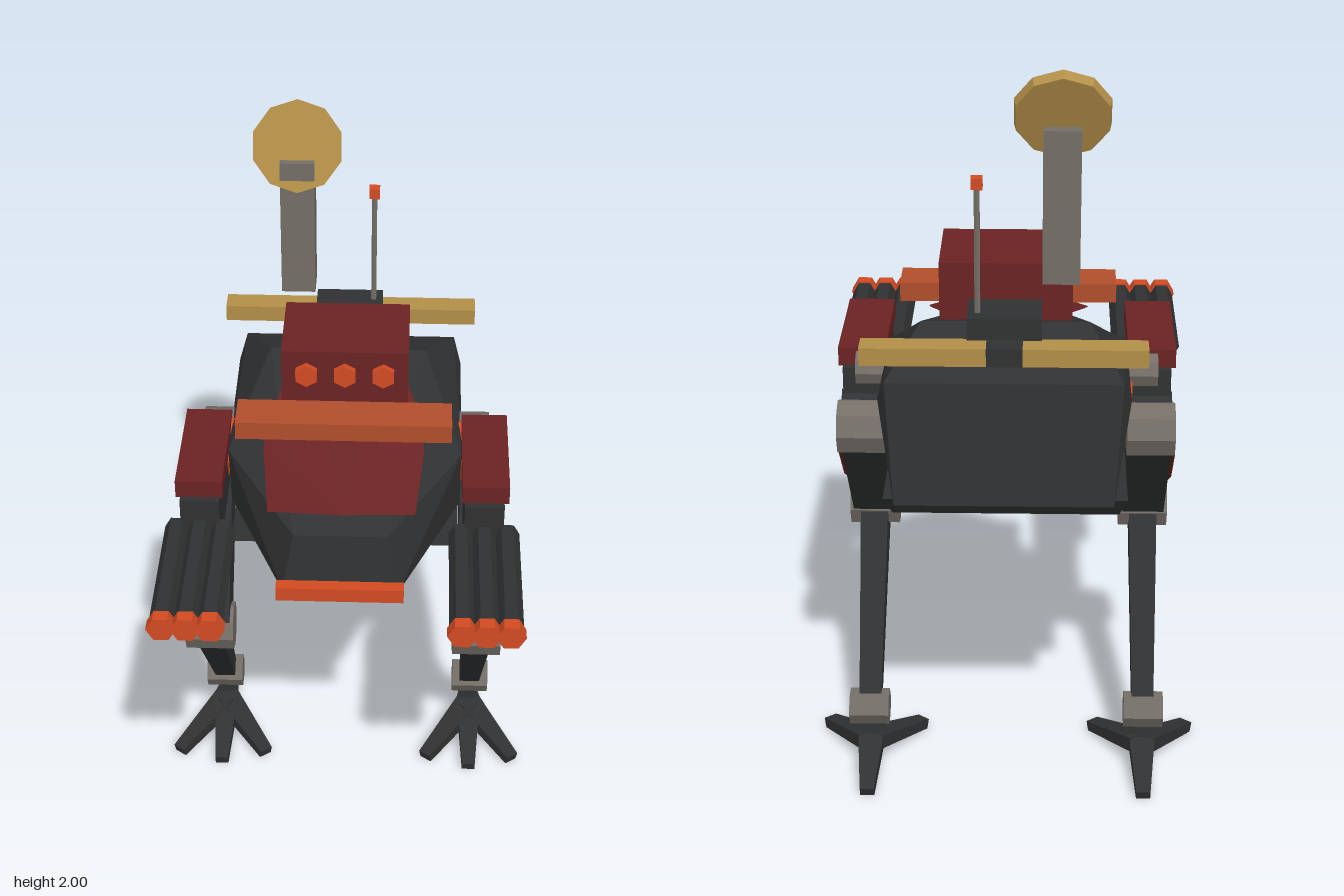
import * as THREE from 'three';
import { ConvexGeometry } from 'three/addons/geometries/ConvexGeometry.js';

const paint = (name, color) => {
  const m = new THREE.MeshStandardMaterial({ color, flatShading: true });
  m.name = name;
  return m;
};

export function createModel() {
  const charcoal = paint('charcoal', 0x303132);
  const maroon = paint('maroon', 0x6b2324);
  const orange = paint('orange', 0xd24a22);
  const rust = paint('rust', 0xb04e2c);
  const gold = paint('gold', 0xb28e48);
  const grey = paint('grey', 0x746e67);

  const model = new THREE.Group();
  model.name = 'walkerRobot';

  const add = (parent, name, geo, mat, x = 0, y = 0, z = 0) => {
    const m = new THREE.Mesh(geo, mat);
    m.name = name;
    m.position.set(x, y, z);
    parent.add(m);
    return m;
  };
  // box given by its limits on each axis
  const box = (parent, name, mat, [x0, x1], [y0, y1], [z0, z1]) =>
    add(parent, name, new THREE.BoxGeometry(x1 - x0, y1 - y0, z1 - z0), mat,
      (x0 + x1) / 2, (y0 + y1) / 2, (z0 + z1) / 2);
  // convex block from corners mirrored across x
  const block = (name, mat, corners) => {
    const pts = corners.flatMap(([x, y, z]) =>
      x ? [new THREE.Vector3(x, y, z), new THREE.Vector3(-x, y, z)] : [new THREE.Vector3(x, y, z)]);
    return add(model, name, new ConvexGeometry(pts), mat);
  };
  // tapered four-sided beam between two points
  const beam = (parent, name, mat, from, to, [w0, h0], [w1, h1]) => {
    const a = new THREE.Vector3(...from), b = new THREE.Vector3(...to), len = a.distanceTo(b);
    const geo = new THREE.BoxGeometry(1, 1, len);
    const p = geo.attributes.position;
    for (let i = 0; i < p.count; i++) {
      const end = p.getZ(i) > 0;
      p.setXY(i, p.getX(i) * (end ? w1 : w0), p.getY(i) * (end ? h1 : h0));
    }
    geo.computeVertexNormals();
    const m = add(parent, name, geo, mat, ...a.clone().add(b).multiplyScalar(0.5).toArray());
    m.lookAt(b);
    return m;
  };
  // joint drum lying along x
  const drum = (parent, name, mat, r, w, sides, x, y, z) =>
    add(parent, name, new THREE.CylinderGeometry(r, r, w, sides).rotateZ(Math.PI / 2), mat, x, y, z);

  // body
  block('hull', charcoal, [
    [0.29, 1.25, -0.52], [0.27, 0.94, -0.56], [0.21, 1.33, -0.32],
    [0.31, 1.19, -0.48], [0.31, 1.17, -0.06], [0.31, 0.98, -0.1],
    [0.25, 0.92, -0.05], [0.12, 1.13, 0.255], [0.15, 0.97, 0.28],
  ]);
  block('hood', maroon, [
    [0, 1.205, 0.265], [0.19, 1.155, 0.19], [0.21, 1.235, 0.02],
    [0.2, 1.27, -0.08], [0.13, 1.335, -0.3],
  ]);
  block('pelvis', charcoal, [
    [0.31, 0.88, -0.04], [0.31, 0.88, -0.41], [0.29, 0.815, -0.2], [0.29, 0.815, -0.36],
  ]);
  box(model, 'bumper', orange, [-0.165, 0.165], [0.96, 1.0], [0.275, 0.31]);

  // head
  box(model, 'head', maroon, [-0.165, 0.165], [1.33, 1.48], [-0.31, -0.065]);
  box(model, 'visor', rust, [-0.28, 0.28], [1.28, 1.33], [-0.065, 0.045]);
  for (const x of [-0.1, 0, 0.1])
    add(model, 'headLight', new THREE.CylinderGeometry(0.032, 0.032, 0.02, 6).rotateX(Math.PI / 2),
      orange, x, 1.415, -0.058);

  // rear equipment
  box(model, 'rearBar', gold, [-0.345, 0.345], [1.31, 1.355], [-0.555, -0.49]);
  box(model, 'barClamp', charcoal, [-0.045, 0.042], [1.312, 1.358], [-0.56, -0.5]);
  box(model, 'spineStrip', orange, [-0.045, 0.042], [1.31, 1.338], [-0.49, -0.31]);
  box(model, 'equipmentBox', charcoal, [-0.09, 0.09], [1.31, 1.41], [-0.5, -0.37]);
  box(model, 'mast', grey, [-0.18, -0.09], [1.48, 1.86], [-0.45, -0.366]);
  const dish = add(model, 'dish',
    new THREE.CylinderGeometry(0.12, 0.115, 0.028, 10).rotateY(Math.PI).rotateX(Math.PI / 2),
    gold, -0.135, 1.888, -0.412);
  dish.rotation.x = -0.38;
  add(model, 'antenna', new THREE.CylinderGeometry(0.008, 0.008, 0.33, 6), grey, 0.065, 1.57, -0.455);
  box(model, 'antennaTip', orange, [0.051, 0.079], [1.722, 1.75], [-0.469, -0.441]);

  // arms and legs
  for (const s of [-1, 1]) {
    const side = s > 0 ? 'left' : 'right';
    const span = (a, b) => (s > 0 ? [a, b] : [-b, -a]);

    const arm = new THREE.Group();
    arm.name = side + 'Arm';
    model.add(arm);
    drum(arm, 'shoulderDisc', orange, 0.085, 0.05, 8, s * 0.295, 1.11, -0.175);
    drum(arm, 'shoulderPin', grey, 0.045, 0.08, 8, s * 0.345, 1.155, -0.21);
    box(arm, 'forearm', charcoal, span(0.318, 0.42), [1.01, 1.157], [-0.22, 0.155]);
    box(arm, 'armPlate', maroon, span(0.31, 0.432), [1.155, 1.205], [-0.2, 0.135]);
    for (const x of [0.31, 0.37, 0.43]) {
      const tube = (r, len) => new THREE.CylinderGeometry(r, r, len, 6)
        .rotateY(Math.PI / 6).rotateX(Math.PI / 2).rotateZ(0);
      const barrel = tube(0.032, 0.39), muzzle = tube(0.037, 0.035);
      barrel.rotateZ(Math.PI / 3);
      add(arm, 'barrel', barrel, charcoal, s * x, 1.067, 0.34);
      add(arm, 'muzzle', muzzle, orange, s * x, 1.067, 0.548);
    }

    const leg = new THREE.Group();
    leg.name = side + 'Leg';
    model.add(leg);
    const X = s * 0.368;
    drum(leg, 'hipJoint', grey, 0.072, 0.122, 8, X, 1.02, -0.278);
    beam(leg, 'thigh', charcoal, [X, 1.05, -0.265], [X, 0.66, 0.045], [0.112, 0.14], [0.112, 0.125]);
    drum(leg, 'kneeJoint', grey, 0.066, 0.132, 8, X, 0.645, 0.038);
    beam(leg, 'shin', charcoal, [X, 0.635, 0.03], [X, 0.19, -0.295], [0.076, 0.1], [0.058, 0.05]);
    drum(leg, 'ankleJoint', grey, 0.048, 0.106, 6, s * 0.37, 0.187, -0.296);

    // thin armour blade along the outer thigh, drawn in the z-y plane
    const blade = new THREE.Shape([[0.1, 0.675], [0.0, 0.775], [-0.1, 0.85], [-0.26, 0.94],
      [-0.14, 0.815], [-0.04, 0.755]].map(([z, y]) => new THREE.Vector2(-z, y)));
    const bladeGeo = new THREE.ExtrudeGeometry(blade, { depth: 0.065, bevelEnabled: false })
      .translate(0, 0, -0.0325).rotateY(Math.PI / 2);
    add(leg, 'thighBlade', bladeGeo, maroon, s * 0.402, 0, 0);

    // foot: three front toes and a heel
    const foot = new THREE.Group();
    foot.name = side + 'Foot';
    leg.add(foot);
    const toes = [[0, -0.075], [-0.13, -0.115], [0.13, -0.115], [0, -0.455]];
    for (const [dx, z] of toes)
      beam(foot, z < -0.3 ? 'heel' : 'toe', charcoal, [s * 0.37, 0.078, -0.29],
        [s * 0.37 + dx, 0.018, z], [0.07, 0.042], [0.038, 0.028]);
  }
  return model;
}
